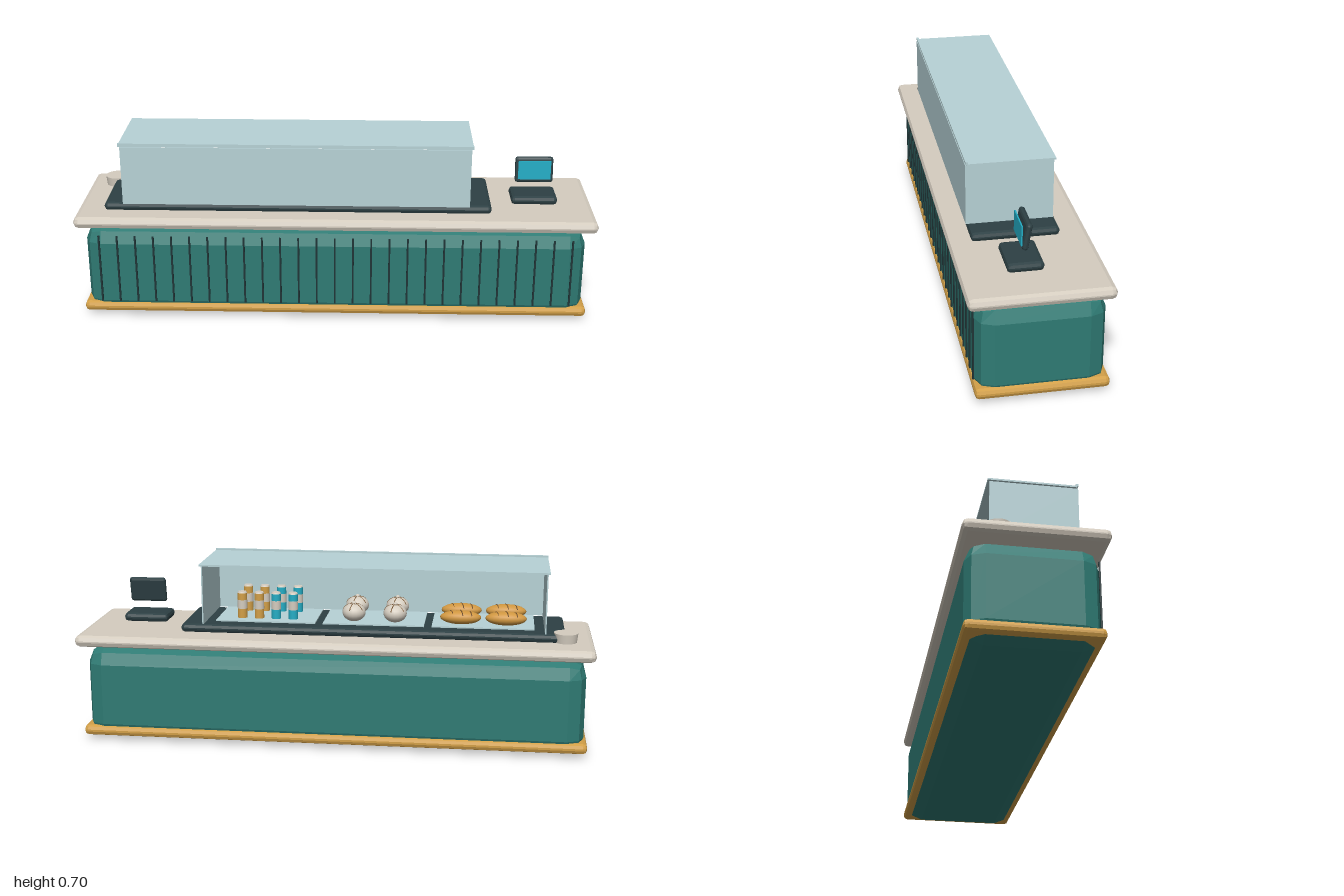
import * as THREE from 'three';
import { RoundedBoxGeometry } from 'three/addons/geometries/RoundedBoxGeometry.js';

const mat = (name, color) => {
  const m = new THREE.MeshStandardMaterial({ color });
  m.name = name;
  return m;
};

export function createModel() {
  const root = new THREE.Group();
  root.name = 'displayCounter';
  const teal = mat('teal', 0x2f7b74);
  const stone = mat('stone', 0xd5cdc0);
  const gold = mat('gold', 0xd3a048);
  const dark = mat('charcoal', 0x2d4044);
  const slatDark = mat('darkGroove', 0x1f3436);
  const glass = mat('glass', 0xb7d2d6);
  const cyan = mat('cyan', 0x24aec6);
  const crust = mat('crust', 0xcf9640);
  const brown = mat('brown', 0x74502a);

  const add = (parent, name, geometry, material, x, y, z) => {
    const mesh = new THREE.Mesh(geometry, material);
    mesh.name = name;
    mesh.position.set(x, y, z);
    parent.add(mesh);
    return mesh;
  };
  const group = (name, x = 0, y = 0, z = 0) => {
    const g = new THREE.Group();
    g.name = name;
    g.position.set(x, y, z);
    root.add(g);
    return g;
  };
  const box = (w, h, d) => new THREE.BoxGeometry(w, h, d);
  // box with faceted two-step bevels
  const bevelBox = (w, h, d, r) => {
    const g = new RoundedBoxGeometry(w, h, d, 1, r);
    g.computeVertexNormals();
    return g;
  };

  // counter
  add(root, 'counterBody', bevelBox(1.935, 0.37, 0.459, 0.065), teal, -0.002, 0.185, -0.0075);
  add(root, 'baseTrim', bevelBox(1.96, 0.04, 0.474, 0.016), gold, -0.002, 0.038, -0.009);
  add(root, 'countertop', bevelBox(2, 0.045, 0.509, 0.02), stone, 0, 0.4005, 0);

  // vertical slats across the front
  const slats = group('frontSlats');
  const slatGeo = box(0.007, 0.275, 0.006);
  for (let i = 0; i < 27; i++) {
    add(slats, 'slat', slatGeo, slatDark, (i - 13) * 0.07, 0.2025, 0.2245);
  }

  // display case, open at the back
  const caseX = -0.15;
  add(root, 'caseBase', bevelBox(1.49, 0.033, 0.322, 0.014), dark, -0.145, 0.4415, 0.016);
  const glassCase = group('glassCase', caseX);
  add(glassCase, 'frontGlass', box(1.33, 0.23, 0.005), glass, 0, 0.573, 0.1805);
  for (const s of [-1, 1]) {
    add(glassCase, 'sideGlass', box(0.005, 0.23, 0.32), glass, s * 0.6625, 0.573, 0.023);
  }
  add(glassCase, 'topGlass', box(1.345, 0.007, 0.322), glass, 0, 0.692, 0.018);
  add(glassCase, 'topRail', box(1.345, 0.009, 0.009), glass, 0, 0.698, 0.178);

  // three trays
  const trayX = [0.275, -0.15, -0.575];
  for (const x of trayX) add(root, 'tray', box(0.395, 0.006, 0.24), glass, x, 0.46, 0.04);
  const rows = [-0.02, 0.11];

  // drink cans
  const canGeo = new THREE.CylinderGeometry(0.019, 0.019, 0.1, 16);
  const bandGeo = new THREE.CylinderGeometry(0.0195, 0.0195, 0.035, 16);
  const lidGeo = new THREE.CylinderGeometry(0.016, 0.019, 0.006, 16);
  for (const z of rows) {
    for (let i = 0; i < 4; i++) {
      const can = group('drinkCan', trayX[0] + (1.5 - i) * 0.068, 0.463, z);
      add(can, 'canBody', canGeo, i < 2 ? gold : cyan, 0, 0.05, 0);
      add(can, 'canBand', bandGeo, stone, 0, 0.055, 0);
      add(can, 'canLid', lidGeo, stone, 0, 0.103, 0);
    }
  }

  // buns with pinched tops
  const bunGeo = new THREE.SphereGeometry(0.046, 20, 14);
  const foldGeo = new THREE.TorusGeometry(0.0455, 0.0018, 5, 14, Math.PI * 0.5);
  const knobGeo = new THREE.SphereGeometry(0.009, 10, 8);
  for (const z of rows) {
    for (const s of [-1, 1]) {
      const bun = group('bun', trayX[1] + s * 0.081, 0.497, z);
      bun.scale.y = 0.78;
      add(bun, 'bunBody', bunGeo, stone, 0, 0, 0);
      add(bun, 'bunTop', knobGeo, stone, 0, 0.047, 0);
      for (let k = 0; k < 5; k++) {
        const fold = add(bun, 'bunFold', foldGeo, brown, 0, 0, 0);
        fold.rotation.set(0, (k * Math.PI * 2) / 5, 0.35);
      }
    }
  }

  // loaves with scored tops
  const loafGeo = new THREE.SphereGeometry(1, 20, 14);
  loafGeo.scale(0.08, 0.027, 0.034);
  const scoreGeo = new THREE.TorusGeometry(1, 0.07, 5, 12, Math.PI * 0.7);
  scoreGeo.rotateZ(Math.PI * 0.15);
  scoreGeo.rotateY(Math.PI / 2);
  for (const z of rows) {
    for (const s of [-1, 1]) {
      const loaf = group('loaf', trayX[2] + s * 0.088, 0.488, z);
      add(loaf, 'loafBody', loafGeo, crust, 0, 0, 0);
      for (const k of [-1, 0, 1]) {
        const fit = Math.sqrt(1 - (k * 0.45) ** 2);
        const score = add(loaf, 'loafScore', scoreGeo, brown, k * 0.036, 0, 0);
        score.scale.set(0.03, 0.027 * fit, 0.034 * fit);
        score.rotation.y = 0.3;
      }
    }
  }

  // cash register
  add(root, 'registerBase', bevelBox(0.178, 0.034, 0.13, 0.014), dark, 0.77, 0.451, 0.032);
  const monitor = add(root, 'monitor', bevelBox(0.147, 0.101, 0.022, 0.01), dark, 0.77, 0.557, 0.025);
  monitor.rotation.x = -0.17;
  const screen = add(root, 'screen', box(0.126, 0.074, 0.005), cyan, 0.77, 0.56, 0.043);
  screen.rotation.x = -0.02;

  // round dish behind the case
  add(root, 'dish', new THREE.CylinderGeometry(0.046, 0.042, 0.036, 24), stone, -0.89, 0.445, -0.118);

  return root;
}
